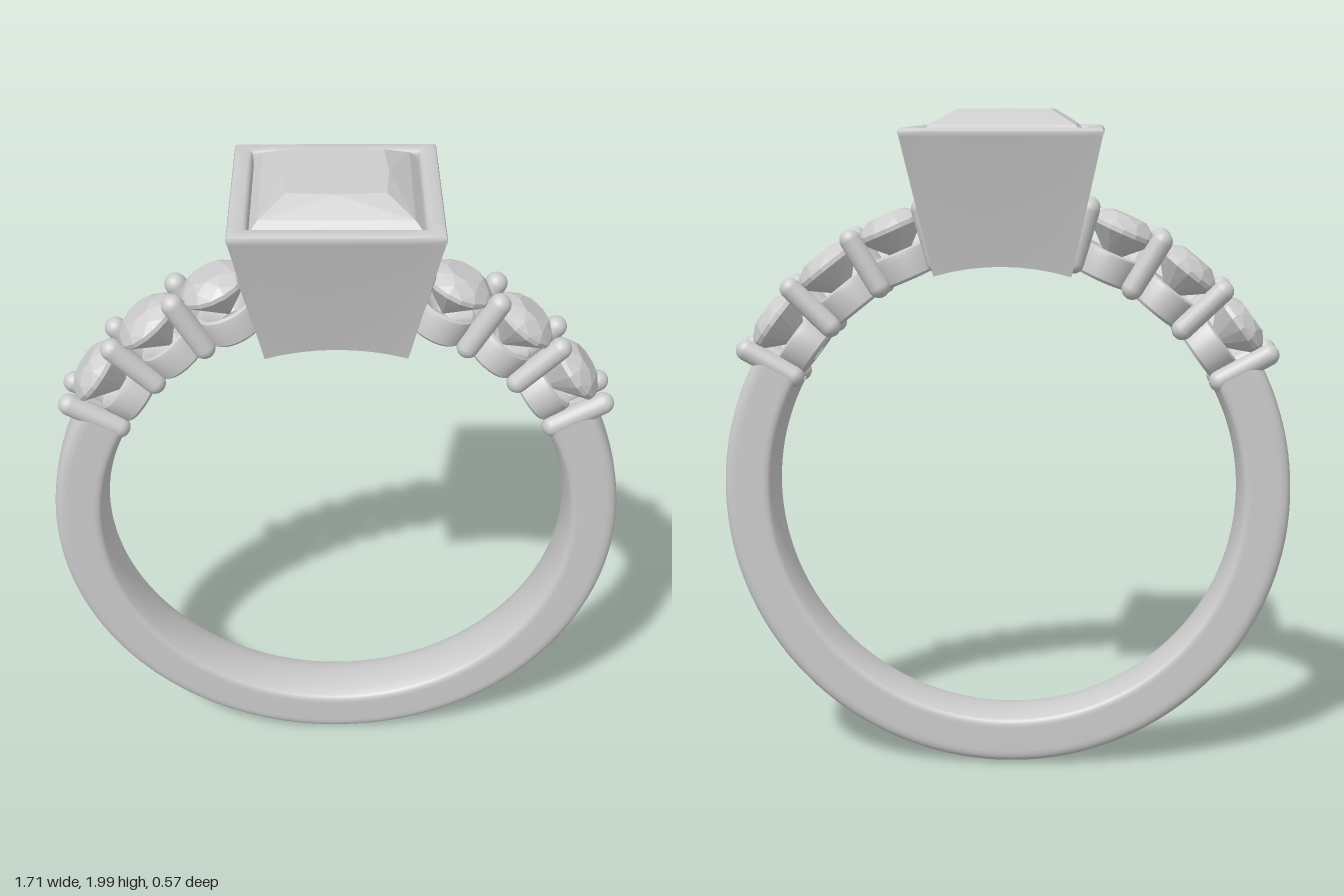
import * as THREE from 'three';
import { toCreasedNormals } from 'three/addons/utils/BufferGeometryUtils.js';
import { ConvexGeometry } from 'three/addons/geometries/ConvexGeometry.js';

const CENTRE_Y = 0.865, INNER = 0.695, OUTER = 0.858, HALF_WIDTH = 0.092;
const rad = THREE.MathUtils.degToRad;
const V = (x, y, z) => new THREE.Vector3(x, y, z);
const metal = new THREE.MeshStandardMaterial({ color: 0xcccccc });
const metalThin = new THREE.MeshStandardMaterial({ color: 0xcccccc, side: THREE.DoubleSide });
const gem = new THREE.MeshStandardMaterial({ color: 0xcccccc, flatShading: true });

function mesh(name, geometry, material = metal) {
  const m = new THREE.Mesh(geometry, material);
  m.name = name;
  return m;
}

// group whose y axis points out from the ring centre at the given angle
function radialGroup(name, degrees) {
  const g = new THREE.Group();
  g.name = name;
  g.position.y = CENTRE_Y;
  g.rotation.z = rad(degrees - 90);
  return g;
}

// ring band: rounded section swept around the lower part of the circle
function makeBand() {
  const g = new THREE.Group();
  g.name = 'band';
  const w = HALF_WIDTH, mid = 0.77, endAngle = 28.5;
  const s = new THREE.Shape();
  s.moveTo(INNER, 0);
  s.quadraticCurveTo(INNER, -0.05, INNER + 0.015, -w + 0.012);
  s.quadraticCurveTo(INNER + 0.02, -w, INNER + 0.04, -w);
  s.lineTo(mid + 0.04, -w);
  s.quadraticCurveTo(OUTER - 0.012, -w, OUTER - 0.008, -w + 0.03);
  s.quadraticCurveTo(OUTER, 0, OUTER - 0.008, w - 0.03);
  s.quadraticCurveTo(OUTER - 0.012, w, mid + 0.04, w);
  s.lineTo(INNER + 0.04, w);
  s.quadraticCurveTo(INNER + 0.02, w, INNER + 0.015, w - 0.012);
  s.quadraticCurveTo(INNER, 0.05, INNER, 0);
  const half = rad(90 + endAngle);
  const sweep = new THREE.LatheGeometry(s.getPoints(6), 120, -half, 2 * half);
  sweep.rotateX(Math.PI / 2);
  const ring = mesh('bandRing', sweep, metalThin);
  ring.position.y = CENTRE_Y;
  g.add(ring);
  // end caps
  for (const a of [endAngle, 180 - endAngle]) {
    const cap = mesh('bandEnd', new THREE.ShapeGeometry(s, 6).rotateX(Math.PI / 2), metalThin);
    cap.position.y = CENTRE_Y;
    cap.rotation.z = rad(a);
    g.add(cap);
  }
  return g;
}

// round faceted stone
function roundStone() {
  const pts = [V(0, 0.755, 0)];
  const ring = (n, r, y, turn = 0) => {
    for (let i = 0; i < n; i++) {
      const a = ((i + turn) / n) * Math.PI * 2;
      pts.push(V(r * Math.cos(a), y, r * Math.sin(a)));
    }
  };
  ring(8, 0.056, 0.902);
  ring(8, 0.084, 0.886, 0.5);
  ring(16, 0.104, 0.865);
  ring(16, 0.104, 0.852);
  ring(8, 0.055, 0.805, 0.5);
  return new ConvexGeometry(pts);
}

// open cup under a round stone
function cupGeometry() {
  const profile = [
    [0.03, 0.7], [0.08, 0.7], [0.088, 0.708], [0.092, 0.77], [0.089, 0.785],
    [0.08, 0.79], [0.07, 0.785], [0.03, 0.745], [0.03, 0.7],
  ].map(([x, y]) => new THREE.Vector2(x, y));
  return toCreasedNormals(new THREE.LatheGeometry(profile, 32), rad(40));
}

// square tapered bezel, hollow, with its underside following the finger hole
function bezelGeometry() {
  const under = (x) => CENTRE_Y + Math.sqrt(INNER * INNER - x * x);
  const loops = [
    [0.197, under], [0.281, 1.925], [0.285, 1.937], [0.282, 1.946], [0.274, 1.95],
    [0.244, 1.95], [0.236, 1.946], [0.232, 1.937], [0.23, 1.89], [0.205, 1.87],
    [0.11, 1.63], [0.11, under], [0.155, under], [0.197, under],
  ];
  const corners = [[1, 1], [1, -1], [-1, -1], [-1, 1]], n = 8;
  const points = [];
  for (const [h, y] of loops) {
    for (let c = 0; c < 4; c++) {
      const [x0, z0] = corners[c], [x1, z1] = corners[(c + 1) % 4];
      for (let i = 0; i < n; i++) {
        const t = i / n, x = h * (x0 + (x1 - x0) * t), z = h * (z0 + (z1 - z0) * t);
        points.push(x, typeof y === 'function' ? y(x) : y, z);
      }
    }
  }
  const index = [], count = 4 * n;
  for (let j = 0; j < loops.length - 1; j++) {
    for (let i = 0; i < count; i++) {
      const a = j * count + i, b = j * count + ((i + 1) % count);
      index.push(a, b, b + count, a, b + count, a + count);
    }
  }
  const geo = new THREE.BufferGeometry();
  geo.setAttribute('position', new THREE.Float32BufferAttribute(points, 3));
  geo.setIndex(index);
  return toCreasedNormals(geo, rad(40));
}

// square faceted stone
function squareStone() {
  const pts = [V(0, 1.6, 0)];
  for (const sx of [-1, 1]) {
    for (const sz of [-1, 1]) {
      pts.push(V(0.132 * sx, 2, 0.132 * sz));
      pts.push(V(0.205 * sx, 1.957, 0.205 * sz));
      pts.push(V(0.228 * sx, 1.932, 0.228 * sz), V(0.228 * sx, 1.905, 0.228 * sz));
      pts.push(V(0.13 * sx, 1.76, 0.13 * sz));
    }
    pts.push(V(0.142 * sx, 2, 0), V(0, 2, 0.142 * sx));
  }
  return new ConvexGeometry(pts);
}

export function createModel() {
  const model = new THREE.Group();
  model.name = 'ring';
  model.add(makeBand());

  const head = new THREE.Group();
  head.name = 'head';
  head.add(mesh('bezel', bezelGeometry()), mesh('centreStone', squareStone(), gem));
  model.add(head);

  const stoneGeo = roundStone(), cupGeo = cupGeometry();
  const prongGeo = new THREE.CapsuleGeometry(0.032, 0.16, 8, 20);
  for (const side of ['left', 'right']) {
    const turn = (a) => (side === 'left' ? a : 180 - a);
    // shoulder stones in their cups
    for (const a of [36.5, 51.5, 66.5]) {
      const g = radialGroup(side + 'ShoulderStone', turn(a));
      g.add(mesh('stone', stoneGeo, gem), mesh('cup', cupGeo));
      model.add(g);
    }
    // pairs of prongs between the stones
    for (const a of [29, 44, 59, 74]) {
      const g = radialGroup(side + 'ProngPair', turn(a));
      for (const z of [-0.061, 0.061]) {
        const prong = mesh('prong', prongGeo);
        prong.position.set(0, 0.803, z);
        g.add(prong);
      }
      model.add(g);
    }
  }
  return model;
}
